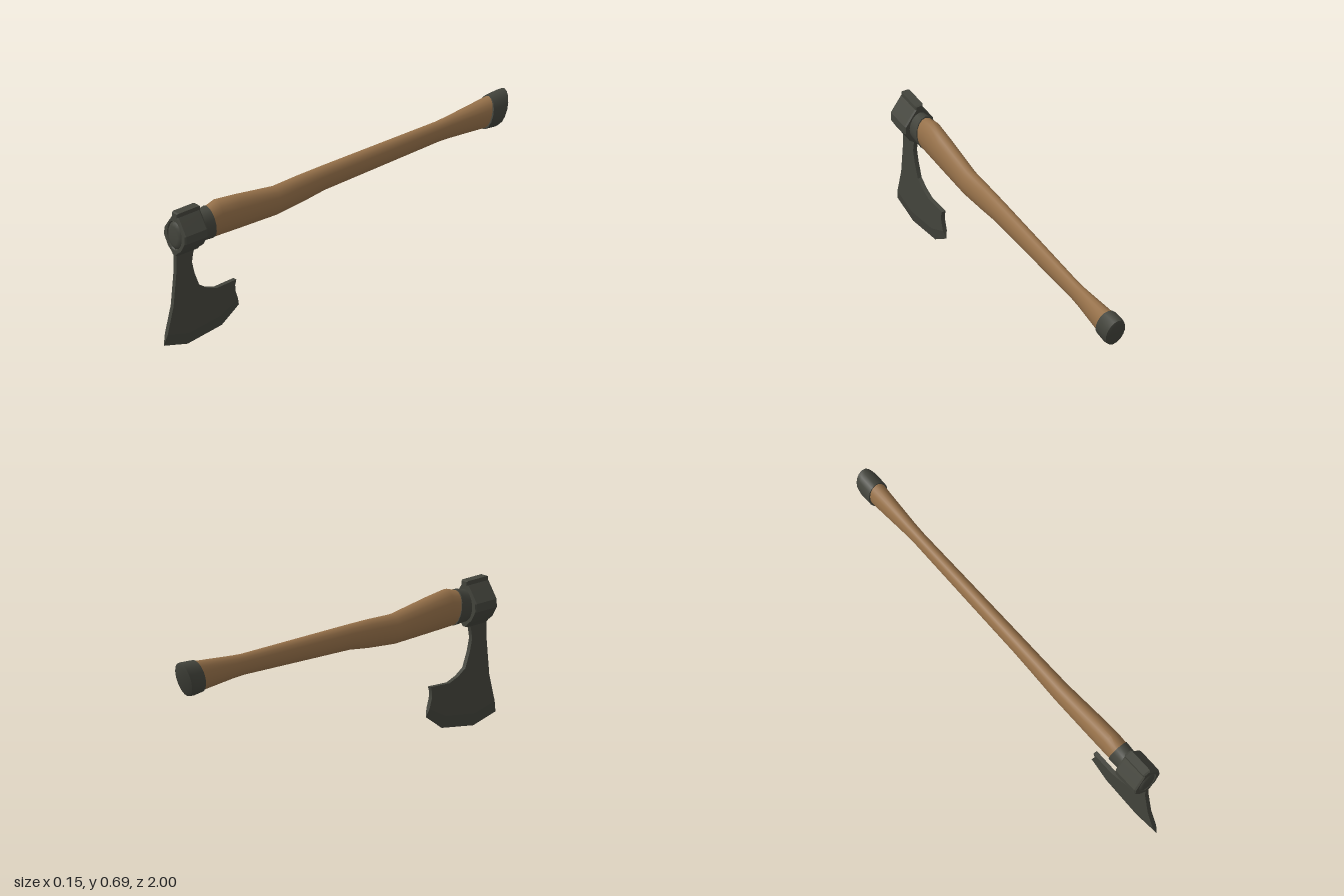
import * as THREE from 'three';
import { toCreasedNormals } from 'three/addons/utils/BufferGeometryUtils.js';

const steel = new THREE.MeshStandardMaterial({ color: 0x43443c });
steel.name = 'dark steel';
const wood = new THREE.MeshStandardMaterial({ color: 0x957049 });
wood.name = 'wood';

function makeGeometry(positions, index) {
  const g = new THREE.BufferGeometry();
  g.setAttribute('position', new THREE.Float32BufferAttribute(positions, 3));
  g.setIndex(index);
  return g;
}

// Closed loft of elliptical rings running from +z to -z.
// Station: [z, lowest y, highest y, half width, lean of the ring in z at its top]
function loft(stations, sides = 16) {
  const pos = [], idx = [];
  for (const [z, lo, hi, w, lean = 0] of stations) {
    for (let j = 0; j < sides; j++) {
      const a = (j / sides) * Math.PI * 2;
      pos.push(w * Math.cos(a), (lo + hi) / 2 + ((hi - lo) / 2) * Math.sin(a), z + lean * Math.sin(a));
    }
  }
  for (let i = 0; i < stations.length - 1; i++) {
    for (let j = 0; j < sides; j++) {
      const a = i * sides + j, b = i * sides + (j + 1) % sides;
      idx.push(a, a + sides, b, b, a + sides, b + sides);
    }
  }
  const last = (stations.length - 1) * sides;
  for (let j = 1; j < sides - 1; j++) {
    idx.push(0, j, j + 1, last, last + j + 1, last + j);
  }
  return toCreasedNormals(makeGeometry(pos, idx), 0.75);
}

const shapeFrom = (pts) => new THREE.Shape(pts.map(([x, y]) => new THREE.Vector2(x, y)));

// Eye of the axe head: faceted ring with a poll ridge on top
function eyeGeometry() {
  const half = [
    [0.011, 0.468], [0.024, 0.484], [0.048, 0.503], [0.075, 0.55],
    [0.073, 0.588], [0.04, 0.637], [0.02, 0.665], [0.02, 0.685],
  ];
  const shape = shapeFrom([...half, ...half.map(([x, y]) => [-x, y]).reverse()]);
  const hole = new THREE.Path();
  hole.absellipse(0, 0.57, 0.047, 0.069, 0, Math.PI * 2, true);
  shape.holes.push(hole);
  const g = new THREE.ExtrudeGeometry(shape, {
    depth: 0.12, curveSegments: 8, bevelEnabled: true,
    bevelSegments: 1, bevelSize: 0.004, bevelOffset: -0.004, bevelThickness: 0.008,
  });
  g.translate(0, 0, 0.81);
  return toCreasedNormals(g, 0.4);
}

// Cutting edge and the line where its bevel starts, as [z, y]
const edge = [[1.0, 0.036], [0.86, 0], [0.66, 0.028], [0.56, 0.098]];
const bevel = [[0.985, 0.09], [0.86, 0.058], [0.675, 0.083], [0.573, 0.135]];
const T = 0.01;

// Flat bearded cheek and neck
function bladeGeometry() {
  const shape = shapeFrom([
    [0.935, 0.5], [0.933, 0.4], [0.951, 0.22], ...bevel,
    [0.588, 0.18], [0.59, 0.21], [0.583, 0.235], [0.7, 0.23], [0.755, 0.25],
    [0.8, 0.28], [0.828, 0.35], [0.843, 0.41], [0.835, 0.46], [0.815, 0.5],
  ]);
  const g = new THREE.ExtrudeGeometry(shape, { depth: 2 * T, bevelEnabled: false });
  g.rotateY(-Math.PI / 2);
  g.translate(T, 0, 0);
  return toCreasedNormals(g, 0.5);
}

// Wedge tapering from the cheek to the sharp edge
function edgeGeometry() {
  const pos = [], idx = [];
  edge.forEach(([z, y], i) => {
    const [bz, by] = bevel[i];
    pos.push(T, by, bz, 0, y, z, -T, by, bz);
  });
  for (let i = 0; i < edge.length - 1; i++) {
    const a = i * 3, b = a + 3;
    idx.push(a, a + 1, b + 1, a, b + 1, b);
    idx.push(a + 2, b + 1, a + 1, a + 2, b + 2, b + 1);
  }
  const e = (edge.length - 1) * 3;
  idx.push(2, 1, 0, e, e + 1, e + 2);
  return toCreasedNormals(makeGeometry(pos, idx), 0.4);
}

export function createModel() {
  const group = new THREE.Group();
  const add = (name, geometry, material) => {
    const mesh = new THREE.Mesh(geometry, material);
    mesh.name = name;
    group.add(mesh);
  };

  // Curved wooden haft, swelling at both ends
  add('haft', loft([
    [0.755, 0.496, 0.65, 0.049], [0.69, 0.492, 0.67, 0.05], [0.58, 0.488, 0.657, 0.048],
    [0.35, 0.481, 0.623, 0.042], [0.2, 0.494, 0.629, 0.038], [0.07, 0.511, 0.63, 0.036],
    [-0.25, 0.52, 0.63, 0.033], [-0.6, 0.53, 0.63, 0.029], [-0.67, 0.527, 0.635, 0.031],
    [-0.89, 0.511, 0.658, 0.045, -0.02],
  ]), wood);

  // Steel sleeve through the eye, with a domed front
  add('sleeve', loft([
    [0.942, 0.525, 0.615, 0.03], [0.938, 0.507, 0.633, 0.042], [0.928, 0.498, 0.641, 0.049],
    [0.8, 0.496, 0.646, 0.05], [0.736, 0.491, 0.658, 0.053, 0.014],
  ]), steel);

  add('eye', eyeGeometry(), steel);
  add('blade', bladeGeometry(), steel);
  add('cuttingEdge', edgeGeometry(), steel);

  // Slanted end cap
  add('pommel', loft([
    [-0.885, 0.506, 0.662, 0.053, -0.02], [-0.95, 0.499, 0.667, 0.053, -0.023],
    [-0.971, 0.502, 0.666, 0.048, -0.025], [-0.978, 0.52, 0.65, 0.036, -0.02],
  ]), steel);

  return group;
}
